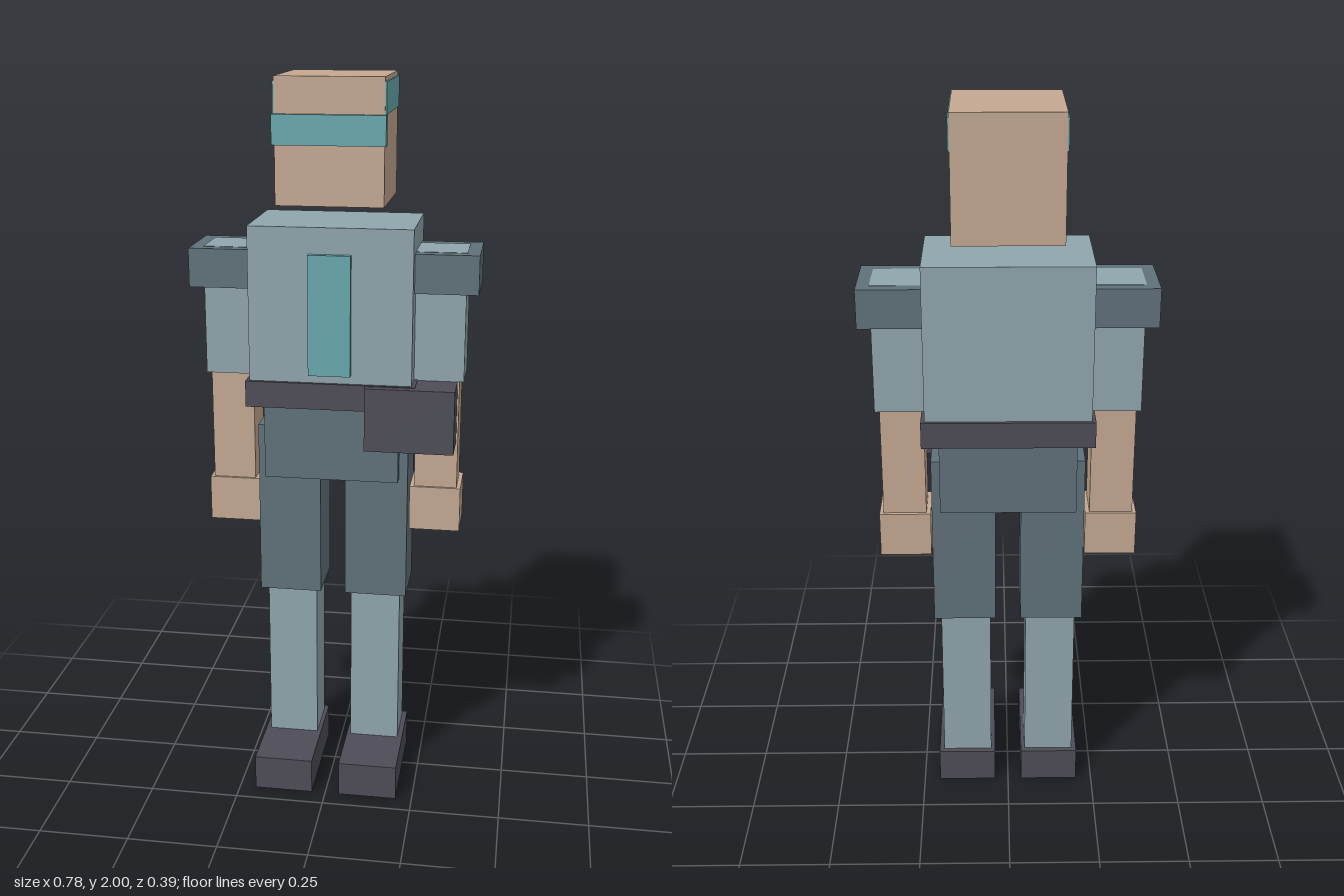
import * as THREE from 'three';

const material = (name, color) => {
  const m = new THREE.MeshStandardMaterial({ color });
  m.name = name;
  return m;
};

export function createModel() {
  const skin = material('skin', 0xc4a992);
  const cloth = material('paleBlueCloth', 0x90a6ad);
  const slate = material('slateBlue', 0x60717b);
  const dark = material('darkLeather', 0x4e4d57);
  const teal = material('teal', 0x68a8ad);

  const model = new THREE.Group();
  model.name = 'blockFigure';

  // Box given by its [min, max] range on each axis
  const block = (parent, name, mat, [x0, x1], [y0, y1], [z0, z1]) => {
    const mesh = new THREE.Mesh(new THREE.BoxGeometry(x1 - x0, y1 - y0, z1 - z0), mat);
    mesh.position.set((x0 + x1) / 2, (y0 + y1) / 2, (z0 + z1) / 2);
    mesh.name = name;
    parent.add(mesh);
  };
  // Matching pair of boxes, given for the +x side
  const pair = (parent, name, mat, [x0, x1], y, z) => {
    block(parent, name + 'Left', mat, [x0, x1], y, z);
    block(parent, name + 'Right', mat, [-x1, -x0], y, z);
  };
  const section = (name) => {
    const g = new THREE.Group();
    g.name = name;
    model.add(g);
    return g;
  };

  // Floating head with a band across the face and higher strips on the sides
  const head = section('head');
  block(head, 'skull', skin, [-0.142, 0.142], [1.675, 2], [-0.193, 0.104]);
  block(head, 'frontBand', teal, [-0.147, 0.147], [1.83, 1.907], [0.088, 0.12]);
  pair(head, 'sideBand', teal, [0.14, 0.146], [1.907, 1.988], [-0.192, 0.103]);

  // Torso, chest plate, belt and hip pouch
  const body = section('body');
  block(body, 'torso', cloth, [-0.22, 0.22], [1.2, 1.62], [-0.188, 0.098]);
  block(body, 'chestPlate', teal, [-0.057, 0.057], [1.225, 1.55], [0.09, 0.114]);
  block(body, 'belt', dark, [-0.23, 0.23], [1.13, 1.202], [-0.198, 0.108]);
  block(body, 'pouch', dark, [0.097, 0.338], [1.025, 1.2], [0, 0.13]);
  block(body, 'pelvis', slate, [-0.185, 0.185], [0.92, 1.13], [-0.16, 0.078]);

  // Arms with shoulder pads
  const arms = section('arms');
  pair(arms, 'shoulderPad', slate, [0.18, 0.389], [1.445, 1.55], [-0.149, 0.058]);
  pair(arms, 'upperArm', cloth, [0.215, 0.355], [1.2, 1.551], [-0.116, 0.026]);
  pair(arms, 'forearm', skin, [0.225, 0.343], [0.89, 1.2], [-0.104, 0.018]);
  pair(arms, 'hand', skin, [0.213, 0.354], [0.767, 0.893], [-0.114, 0.025]);

  // Legs and feet
  const legs = section('legs');
  pair(legs, 'thigh', slate, [0.035, 0.209], [0.567, 1.06], [-0.13, 0.045]);
  pair(legs, 'shin', cloth, [0.05, 0.19], [0.09, 0.567], [-0.114, 0.026]);
  pair(legs, 'foot', dark, [0.039, 0.204], [0, 0.1], [-0.13, 0.197]);

  return model;
}
